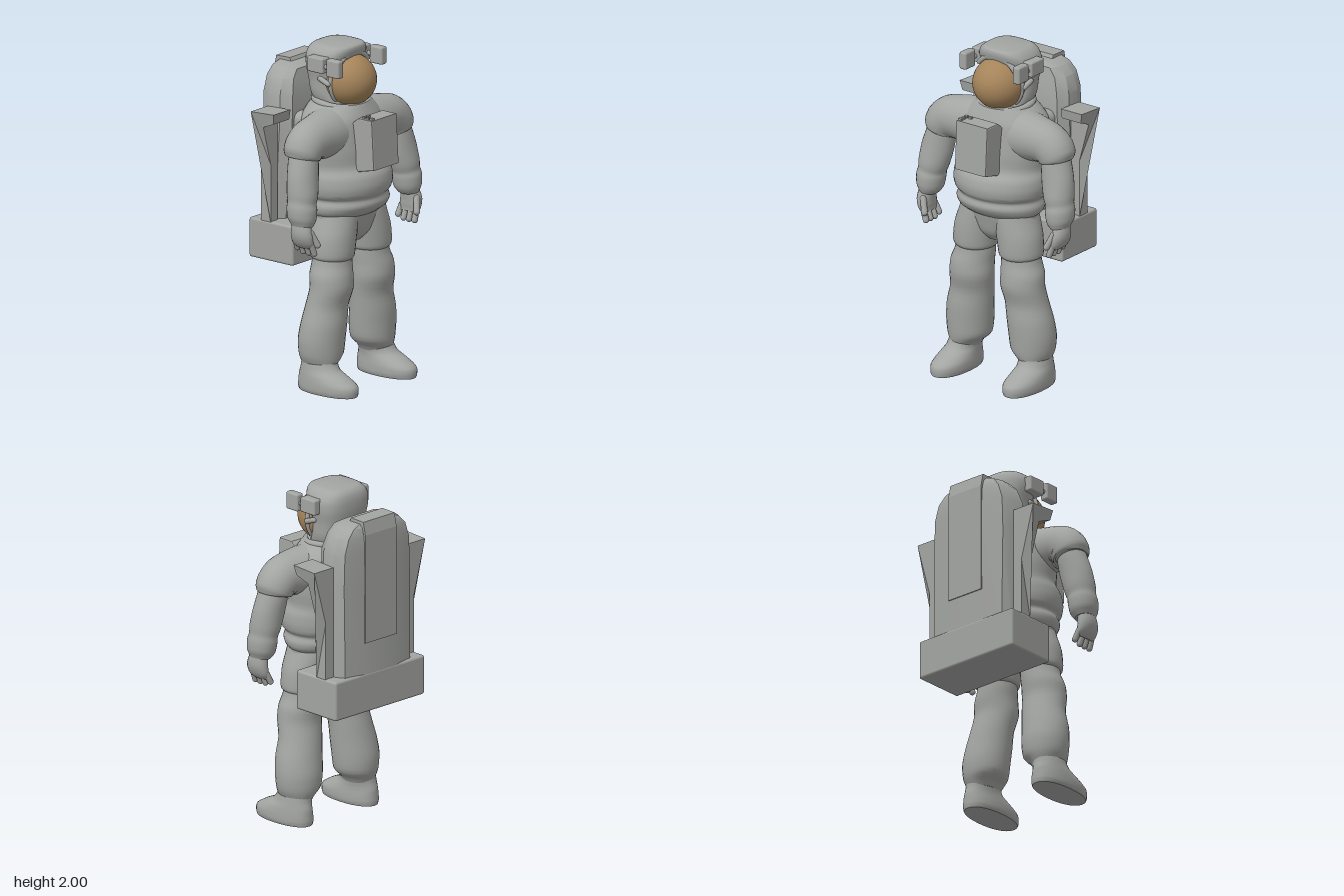
import * as THREE from 'three';
import { toCreasedNormals } from 'three/addons/utils/BufferGeometryUtils.js';
import { RoundedBoxGeometry } from 'three/addons/geometries/RoundedBoxGeometry.js';

const suit = new THREE.MeshStandardMaterial({ color: 0xa3a5a2 });
suit.name = 'suitGrey';
const gold = new THREE.MeshStandardMaterial({ color: 0xa5845a });
gold.name = 'visorGold';

function add(parent, name, geometry, material = suit) {
  const mesh = new THREE.Mesh(geometry, material);
  mesh.name = name;
  parent.add(mesh);
  return mesh;
}

// Skin a list of closed rings (anticlockwise about the direction of travel) and cap both ends.
function skin(rings, crease) {
  const n = rings[0].length, pos = [], idx = [];
  rings.forEach(r => r.forEach(p => pos.push(p.x, p.y, p.z)));
  for (let i = 0; i < rings.length - 1; i++) {
    for (let j = 0; j < n; j++) {
      const a = i * n + j, b = i * n + (j + 1) % n;
      idx.push(a, b, a + n, b, b + n, a + n);
    }
  }
  [0, rings.length - 1].forEach((k, top) => {
    const c = new THREE.Vector3();
    rings[k].forEach(p => c.addScaledVector(p, 1 / n));
    const ci = pos.length / 3;
    pos.push(c.x, c.y, c.z);
    for (let j = 0; j < n; j++) {
      const a = k * n + j, b = k * n + (j + 1) % n;
      top ? idx.push(ci, a, b) : idx.push(ci, b, a);
    }
  });
  const g = new THREE.BufferGeometry();
  g.setAttribute('position', new THREE.Float32BufferAttribute(pos, 3));
  g.setIndex(idx);
  return toCreasedNormals(g, crease);
}

// Smooth loft; sections are [x, y, z, radius across, radius in z, squareness].
// With bend, rings turn to follow the path in the x-y plane.
function loft(sections, { bend = false, seg = 28, sub = 3, crease = 0.9 } = {}) {
  const spline = f => new THREE.CatmullRomCurve3(sections.map(f), false, 'catmullrom', 0.4);
  const path = spline(s => new THREE.Vector3(s[0], s[1], s[2]));
  const size = spline(s => new THREE.Vector3(s[3], s[4], s[5] ?? 2));
  const rows = (sections.length - 1) * sub, rings = [];
  for (let i = 0; i <= rows; i++) {
    const c = path.getPoint(i / rows), r = size.getPoint(i / rows);
    const t = bend ? path.getTangent(i / rows).setZ(0).normalize() : new THREE.Vector3(0, 1, 0);
    const e = 2 / r.z, ring = [];
    for (let j = 0; j < seg; j++) {
      const a = j / seg * Math.PI * 2, co = Math.cos(a), si = Math.sin(a);
      const u = r.x * Math.sign(co) * Math.abs(co) ** e, w = r.y * Math.sign(si) * Math.abs(si) ** e;
      ring.push(new THREE.Vector3(c.x + t.y * u, c.y - t.x * u, c.z - w));
    }
    rings.push(ring);
  }
  return skin(rings, crease);
}

// Extrude a (z, y) profile across x.
function extrudeX(points, x0, x1, bevel = 0) {
  const shape = new THREE.Shape(points.map(p => new THREE.Vector2(...p)));
  return new THREE.ExtrudeGeometry(shape, {
    depth: x1 - x0 - 2 * bevel, bevelEnabled: bevel > 0, bevelThickness: bevel,
    bevelSize: bevel, bevelOffset: -bevel, bevelSegments: 2,
  }).rotateY(-Math.PI / 2).translate(x1 - bevel, 0, 0);
}

const block = (x0, x1, y0, y1, z0, z1, r) =>
  new RoundedBoxGeometry(x1 - x0, y1 - y0, z1 - z0, 2, r)
    .translate((x0 + x1) / 2, (y0 + y1) / 2, (z0 + z1) / 2);

// Capsule between two points
function rod(a, b, r) {
  const p = new THREE.Vector3(...a), q = new THREE.Vector3(...b), d = q.clone().sub(p);
  const turn = new THREE.Quaternion().setFromUnitVectors(new THREE.Vector3(0, 1, 0), d.clone().normalize());
  return new THREE.CapsuleGeometry(r, d.length(), 4, 10).applyQuaternion(turn)
    .translate(...p.add(q).multiplyScalar(0.5).toArray());
}

// Everything that exists once per side, built on +x
function buildSide(name) {
  const g = new THREE.Group();
  g.name = name;
  add(g, 'boot', loft([
    [0.26, 0, 0.152, 0.092, 0.2, 2.2], [0.26, 0.02, 0.152, 0.1, 0.204, 2.2], [0.26, 0.06, 0.15, 0.1, 0.2, 2.2],
    [0.26, 0.1, 0.118, 0.095, 0.165], [0.257, 0.13, 0.09, 0.09, 0.128], [0.25, 0.17, 0.078, 0.09, 0.112],
    [0.24, 0.22, 0.075, 0.09, 0.11]]));
  add(g, 'leg', loft([
    [0.245, 0.14, 0.075, 0.08, 0.1], [0.243, 0.17, 0.075, 0.097, 0.115], [0.228, 0.215, 0.072, 0.13, 0.128],
    [0.225, 0.3, 0.073, 0.141, 0.133], [0.215, 0.4, 0.083, 0.14, 0.128], [0.197, 0.5, 0.09, 0.132, 0.118],
    [0.183, 0.6, 0.112, 0.133, 0.122], [0.18, 0.68, 0.107, 0.129, 0.123], [0.165, 0.75, 0.1, 0.118, 0.115],
    [0.16, 0.86, 0.1, 0.11, 0.11]]));
  add(g, 'thighCover', loft([
    [0.16, 0.77, 0.1, 0.11, 0.115], [0.163, 0.785, 0.1, 0.129, 0.126], [0.16, 0.83, 0.1, 0.134, 0.13],
    [0.148, 0.91, 0.097, 0.137, 0.133], [0.125, 1.0, 0.09, 0.13, 0.135], [0.12, 1.05, 0.09, 0.12, 0.13]]));
  add(g, 'shoulder', loft([
    [0.1, 1.5, 0.06, 0.155, 0.15], [0.2, 1.505, 0.07, 0.145, 0.14], [0.29, 1.505, 0.08, 0.13, 0.125],
    [0.35, 1.495, 0.083, 0.125, 0.118], [0.395, 1.462, 0.084, 0.118, 0.115],
    [0.412, 1.42, 0.085, 0.105, 0.108], [0.415, 1.41, 0.085, 0.085, 0.09]], { bend: true }));
  add(g, 'arm', loft([
    [0.395, 1.5, 0.09, 0.075, 0.08], [0.412, 1.4, 0.095, 0.088, 0.088], [0.433, 1.3, 0.107, 0.097, 0.088],
    [0.45, 1.21, 0.118, 0.091, 0.09], [0.459, 1.165, 0.122, 0.082, 0.084], [0.464, 1.13, 0.126, 0.085, 0.09],
    [0.468, 1.07, 0.13, 0.078, 0.085], [0.474, 1.03, 0.135, 0.055, 0.065]], { bend: true }));
  // Glove
  add(g, 'palm', loft([
    [0.478, 1.06, 0.135, 0.045, 0.055], [0.486, 0.99, 0.143, 0.046, 0.072],
    [0.476, 0.94, 0.143, 0.036, 0.074], [0.462, 0.91, 0.143, 0.02, 0.065]], { bend: true, seg: 18 }));
  for (let i = 0; i < 4; i++) {
    const z = 0.085 + i * 0.037;
    add(g, 'finger', rod([0.47, 0.94, z], [0.445, 0.872 + (i === 0 ? 0.015 : 0), z - 0.006 + i * 0.004], 0.018));
  }
  add(g, 'thumb', rod([0.47, 1.0, 0.195], [0.44, 0.925, 0.222], 0.019));
  // Helmet fittings
  add(g, 'lamp', block(0.167, 0.217, 1.85, 1.955, 0.095, 0.19, 0.012));
  add(g, 'lampHinge', rod([0.19, 1.9, 0.06], [0.19, 1.9, 0.11], 0.014));
  add(g, 'helmetSideBox', block(0.13, 0.218, 1.86, 1.95, -0.045, 0.072, 0.01));
  add(g, 'visorLever', rod([0.163, 1.79, 0.07], [0.163, 1.812, 0.01], 0.016));
  // Pack arm: upright that flares outward into a forward-pointing head
  const arm = extrudeX([[-0.275, 0.95], [-0.2, 0.95], [-0.2, 1.3], [-0.2, 1.54], [-0.115, 1.575],
    [-0.105, 1.635], [-0.275, 1.625], [-0.275, 1.3]], 0.29, 0.44);
  const p = arm.attributes.position;
  for (let i = 0; i < p.count; i++) {
    if (p.getX(i) > 0.4) p.setX(i, 0.35 + 0.09 * THREE.MathUtils.clamp((p.getY(i) - 1.3) / 0.32, 0, 1));
  }
  arm.computeVertexNormals();
  add(g, 'packArm', arm);
  return g;
}

export function createModel() {
  const model = new THREE.Group();
  model.name = 'astronaut';

  // Both halves
  const left = buildSide('leftSide'), right = buildSide('rightSide');
  right.scale.x = -1;
  model.add(left, right);

  // Body
  add(model, 'hips', loft([
    [0, 0.85, 0.09, 0.06, 0.07], [0, 0.9, 0.09, 0.16, 0.11], [0, 0.97, 0.085, 0.24, 0.135],
    [0, 1.03, 0.085, 0.252, 0.15], [0, 1.07, 0.085, 0.25, 0.15]]));
  add(model, 'torso', loft([
    [0, 1.015, 0.08, 0.235, 0.15], [0, 1.045, 0.075, 0.267, 0.195], [0, 1.085, 0.075, 0.275, 0.218],
    [0, 1.122, 0.07, 0.262, 0.213], [0, 1.15, 0.07, 0.284, 0.234], [0, 1.2, 0.07, 0.295, 0.242],
    [0, 1.26, 0.062, 0.291, 0.235], [0, 1.31, 0.045, 0.276, 0.212], [0, 1.4, 0.04, 0.288, 0.212],
    [0, 1.5, 0.035, 0.285, 0.205], [0, 1.58, 0.03, 0.265, 0.2], [0, 1.63, 0.028, 0.215, 0.182],
    [0, 1.665, 0.03, 0.165, 0.165]], { seg: 40 }));
  add(model, 'neckRing', new THREE.TorusGeometry(0.153, 0.021, 10, 36)
    .rotateX(Math.PI / 2 + 0.11).translate(0, 1.66, 0.03));

  // Helmet
  add(model, 'helmet', loft([
    [0, 1.66, 0.01, 0.14, 0.13, 2.2], [0, 1.72, -0.015, 0.158, 0.115, 2.4], [0, 1.8, -0.025, 0.163, 0.115, 2.5],
    [0, 1.87, -0.025, 0.176, 0.125, 2.6], [0, 1.93, -0.01, 0.176, 0.14, 2.8], [0, 1.97, 0, 0.155, 0.14, 3],
    [0, 1.993, 0.008, 0.13, 0.128, 3], [0, 2, 0.01, 0.11, 0.11, 3]], { seg: 32 }));
  add(model, 'visor', new THREE.SphereGeometry(1, 36, 24).scale(0.155, 0.152, 0.16)
    .translate(0, 1.79, 0.09), gold);
  add(model, 'visorRim', new THREE.TorusGeometry(0.153, 0.014, 8, 40).translate(0, 1.795, 0.078));
  add(model, 'brim', new THREE.TorusGeometry(0.162, 0.018, 8, 24, Math.PI * 0.6)
    .rotateZ(Math.PI * 0.2).scale(1, 1, 1.8).translate(0, 1.792, 0.1));

  // Chest control unit
  add(model, 'chestUnit', extrudeX([[0.2, 1.3], [0.24, 1.288], [0.366, 1.318], [0.35, 1.61], [0.25, 1.61],
    [0.2, 1.57]], -0.113, 0.112, 0.008));
  for (const [x, z] of [[-0.092, 0.335], [-0.092, 0.31], [-0.092, 0.28], [-0.062, 0.28]]) {
    add(model, 'chestSwitch', new THREE.BoxGeometry(0.022, 0.016, 0.018).translate(x, 1.614, z));
  }

  // Life support pack: sections are [y, half width, front z, back z]
  const half = [[0.85, 0], [1, 0.25], [1, 0.6], [0.9, 0.88], [0.43, 1]];
  const outline = [...half, ...half.map(([x, z]) => [-x, z]).reverse()];
  const packRings = [[0.95, 0.285, -0.18, -0.36], [1.5, 0.29, -0.13, -0.362], [1.7, 0.283, -0.13, -0.362],
    [1.79, 0.25, -0.148, -0.36], [1.84, 0.2, -0.158, -0.352], [1.86, 0.14, -0.19, -0.34]]
    .map(([y, w, f, b]) => outline.map(([x, z]) => new THREE.Vector3(x * w, y, f + (b - f) * z)));
  add(model, 'pack', skin(packRings, 0.5));
  add(model, 'packHatch', extrudeX([[-0.355, 1.15], [-0.367, 1.15], [-0.367, 1.8], [-0.35, 1.877],
    [-0.25, 1.88], [-0.235, 1.85], [-0.335, 1.845]], -0.124, 0.124));
  add(model, 'packMount', block(-0.23, 0.23, 1.0, 1.6, -0.22, -0.04, 0.05));
  add(model, 'packBase', block(-0.355, 0.355, 0.73, 0.965, -0.362, -0.035, 0.015));
  return model;
}
